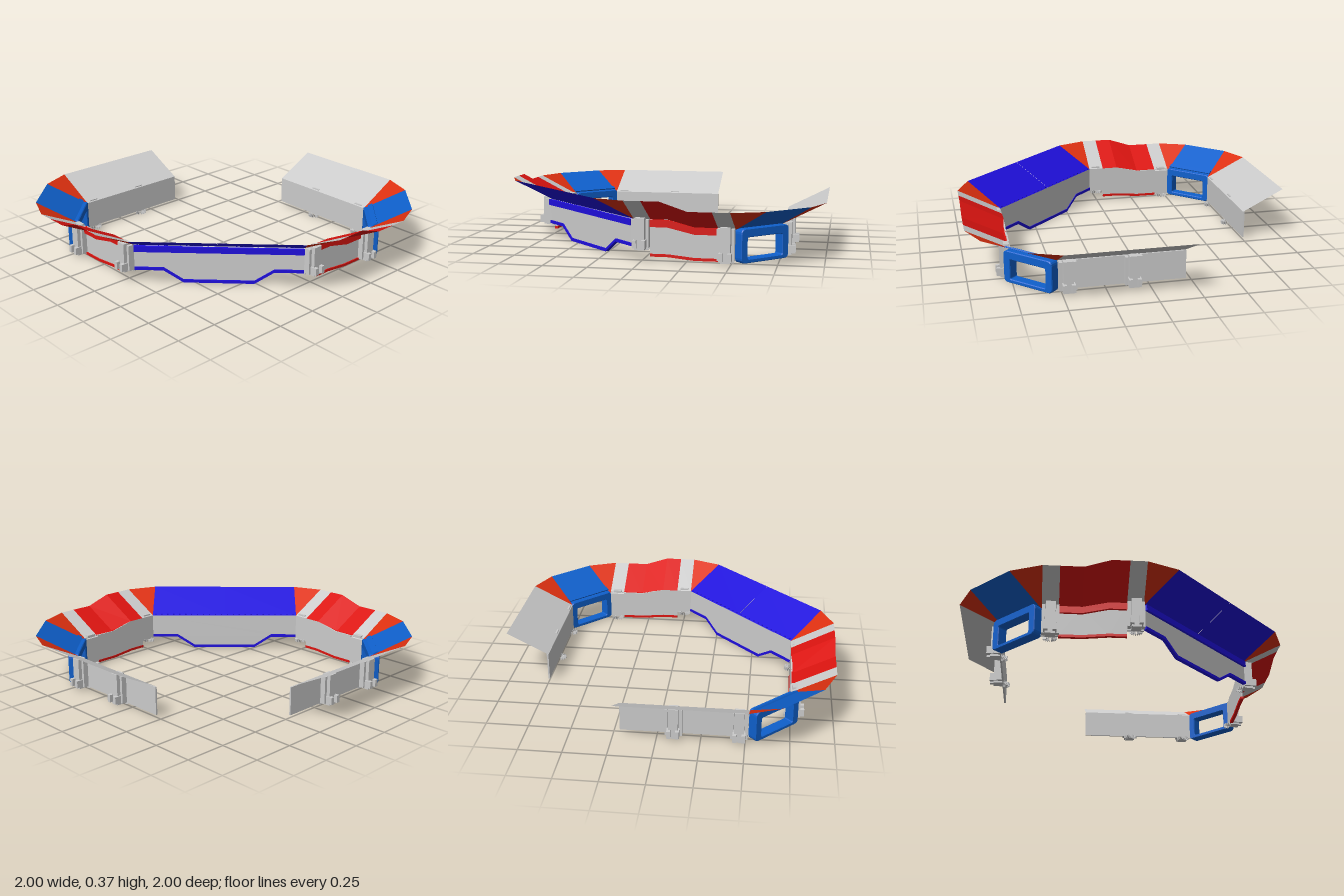
import * as THREE from 'three';

const mat = (color) => new THREE.MeshStandardMaterial({ color, side: THREE.DoubleSide, flatShading: true });
const GREY = mat(0xcccccc), BLUE = mat(0x1f0fdc), RED = mat(0xdc1410);
const ORANGE = mat(0xdd3010), GATE = mat(0x0f60cc);
const OUT = 0.255;                 // horizontal reach of the canopy
const LOW = [0.19, 0.32], HIGH = [0.235, 0.37]; // inner and outer canopy heights

function mesh(parent, name, geometry, material, x = 0, y = 0, z = 0) {
  const m = new THREE.Mesh(geometry, material);
  m.name = name;
  m.position.set(x, y, z);
  parent.add(m);
  return m;
}

function triangles(points) {
  const g = new THREE.BufferGeometry();
  g.setAttribute('position', new THREE.Float32BufferAttribute(points.flat(), 3));
  g.computeVertexNormals();
  return g;
}

// Upright slab between a lower and an upper outline, both running along the wall
function slab(parent, name, lower, upper, z, depth, material) {
  const shape = new THREE.Shape([...lower, ...[...upper].reverse()].map(([s, y]) => new THREE.Vector2(s, y)));
  return mesh(parent, name, new THREE.ExtrudeGeometry(shape, { depth, bevelEnabled: false }), material, 0, 0, z);
}

// Sloping sheet; each station is [distance, [inner height, outer height]]
function canopy(parent, name, stations, material) {
  const p = [];
  for (let i = 0; i + 1 < stations.length; i++) {
    const [s, h] = stations[i], [t, k] = stations[i + 1];
    const a = [s, h[0], 0], b = [s, h[1], OUT], c = [t, k[1], OUT], d = [t, k[0], 0];
    p.push(a, b, c, a, c, d);
  }
  return mesh(parent, name, triangles(p), material);
}

function roundRect(Type, x0, y0, x1, y1, r) {
  const p = new Type();
  p.moveTo(x0 + r, y0).lineTo(x1 - r, y0).quadraticCurveTo(x1, y0, x1, y0 + r);
  p.lineTo(x1, y1 - r).quadraticCurveTo(x1, y1, x1 - r, y1);
  p.lineTo(x0 + r, y1).quadraticCurveTo(x0, y1, x0, y1 - r);
  p.lineTo(x0, y0 + r).quadraticCurveTo(x0, y0, x0 + r, y0);
  return p;
}

// Outside support post with side ribs, a foot and a toothed half ring beneath the wall
function post(parent, s, y0, y1) {
  const g = new THREE.Group();
  g.name = 'post';
  g.position.set(s, y0, 0);
  parent.add(g);
  const h = y1 - y0;
  mesh(g, 'postCore', new THREE.BoxGeometry(0.056, h, 0.055), GREY, 0, h / 2, 0.035);
  for (const k of [-1, 1]) {
    mesh(g, 'postRib', new THREE.BoxGeometry(0.018, h - 0.02, 0.035), GREY, k * 0.04, h / 2, 0.025);
    mesh(g, 'postFoot', new THREE.BoxGeometry(0.022, 0.045, 0.08), GREY, k * 0.025, 0.035, 0.045);
  }
  for (let i = 0; i < 9; i++) {
    const a = Math.PI * (0.08 + 0.84 * i / 8);
    const tooth = mesh(g, 'tooth', new THREE.BoxGeometry(0.022, 0.016, 0.003), GREY,
      Math.cos(a) * 0.03, 0, 0.005 - Math.sin(a) * 0.03);
    tooth.rotation.y = a;
  }
}

// Plain end panel with two posts
function endPanel(g, L, f) {
  const run = (y) => [[0, y], [L, y]];
  slab(g, 'endWall', run(0.02), run(0.19), 0, 0.01, GREY);
  canopy(g, 'endCanopy', [[0, LOW], [L, LOW]], GREY);
  for (const s of [0.31, 0.68]) post(g, f(s), 0.012, 0.2);
}

// Open gate with a rounded frame
function gate(g, L) {
  const shape = roundRect(THREE.Shape, -0.005, 0.015, L + 0.005, 0.198, 0.025);
  shape.holes.push(roundRect(THREE.Path, 0.033, 0.03, L - 0.033, 0.157, 0.012));
  mesh(g, 'gateFrame', new THREE.ExtrudeGeometry(shape,
    { depth: 0.055, bevelThickness: 0.005, bevelSize: 0.004, bevelSegments: 1, curveSegments: 4 }), GATE, 0, 0, 0.003);
  canopy(g, 'gateCanopy', [[0, LOW], [L, LOW]], GATE);
  const lip = mesh(g, 'gateLip', new THREE.BoxGeometry(L, 0.008, 0.03), GATE, L / 2, 0.215, 0.04);
  lip.rotation.x = -Math.atan2(LOW[1] - LOW[0], OUT);
}

// Stepped panel: low at one end, high at the other, with grey bands over its posts
function steppedPanel(g, L, f) {
  const pts = (...list) => list.map(([s, y]) => [f(s), y]).sort((a, b) => a[0] - b[0]);
  const a = 0.095, b = 0.225, c = 0.375, d = 0.475;
  const lift = (list, k) => list.map(([s, y]) => [s, y + k]);
  const base = pts([a, 0.02], [b, 0.02], [c, 0.035], [d, 0.035]);
  const top = pts([a, 0.2], [b, 0.2], [c, 0.235], [d, 0.235]);
  slab(g, 'steppedWall', base, top, 0, 0.01, GREY);
  slab(g, 'bottomTrim', lift(base, -0.007), lift(base, 0.008), -0.003, 0.02, RED);
  slab(g, 'topTrim', lift(top, -0.04), top, 0.005, 0.02, RED);
  slab(g, 'lowWall', pts([0, 0.02], [a, 0.02]), pts([0, 0.19], [a, 0.19]), 0, 0.01, GREY);
  slab(g, 'highWall', pts([d, 0.07], [L, 0.07]), pts([d, 0.235], [L, 0.235]), 0, 0.01, GREY);
  const cover = (name, list, m) => canopy(g, name, list.map(([s, h]) => [f(s), h]).sort((p, q) => p[0] - q[0]), m);
  cover('lowCanopyBand', [[0, LOW], [a, LOW]], GREY);
  cover('steppedCanopy', [[a, LOW], [b, LOW], [c, HIGH], [d, HIGH]], RED);
  cover('highCanopyBand', [[d, HIGH], [L, HIGH]], GREY);
  post(g, f(0.05), 0.012, 0.21);
  post(g, f(0.525), 0.07, 0.248);
}

// Long middle panel whose lower edge drops in the centre
function middlePanel(g, L) {
  const base = [[0, 0.09], [0.17, 0.09], [0.285, 0.015], [L - 0.285, 0.015], [L - 0.17, 0.09], [L, 0.09]];
  const lift = (k) => base.map(([s, y]) => [s, y + k]);
  slab(g, 'middleWall', base, [[0, 0.235], [L, 0.235]], 0, 0.01, GREY);
  slab(g, 'bottomTrim', lift(-0.008), lift(0.01), -0.004, 0.022, BLUE);
  slab(g, 'topTrim', [[0, 0.2], [L, 0.2]], [[0, 0.235], [L, 0.235]], 0.005, 0.02, BLUE);
  for (const [s, t] of [[0, L / 2 - 0.001], [L / 2 + 0.001, L]])
    canopy(g, 'middleCanopy', [[s, HIGH], [t, HIGH]], BLUE);
  for (let i = 0; i < 24; i++)
    mesh(g, 'stud', new THREE.BoxGeometry(0.008, 0.006, 0.006), BLUE, (i + 0.5) * L / 24, 0.241, 0.006);
}

export function createModel() {
  const model = new THREE.Group();
  model.name = 'panelRing';
  // Corners of the wall line and the panel on each stretch
  const path = [[-0.745, -0.215], [-0.745, 0.52], [-0.52, 0.745], [0.05, 0.745],
    [0.745, 0.05], [0.745, -0.52], [0.52, -0.745], [-0.215, -0.745]];
  const builders = [endPanel, gate, steppedPanel, middlePanel, steppedPanel, gate, endPanel];
  const names = ['endPanel', 'gate', 'steppedPanel', 'middlePanel', 'steppedPanel', 'gate', 'endPanel'];
  const normals = [];
  builders.forEach((build, i) => {
    const [ax, az] = path[i], [bx, bz] = path[i + 1];
    const L = Math.hypot(bx - ax, bz - az);
    const g = new THREE.Group();
    g.name = names[i];
    g.position.set(ax, 0, az);
    g.rotation.y = Math.atan2(az - bz, bx - ax);
    build(g, L, i > 3 ? (s) => L - s : (s) => s);
    model.add(g);
    normals.push([(az - bz) / L, (bx - ax) / L]);
  });
  // Triangular canopy pieces filling the corners
  for (let i = 1; i < 7; i++) {
    const [x, z] = path[i], h = i === 3 || i === 4 ? HIGH : LOW;
    const outer = (n) => [x + n[0] * OUT, h[1], z + n[1] * OUT];
    mesh(model, 'cornerCanopy', triangles([[x, h[0], z], outer(normals[i - 1]), outer(normals[i])]), ORANGE);
  }
  return model;
}
